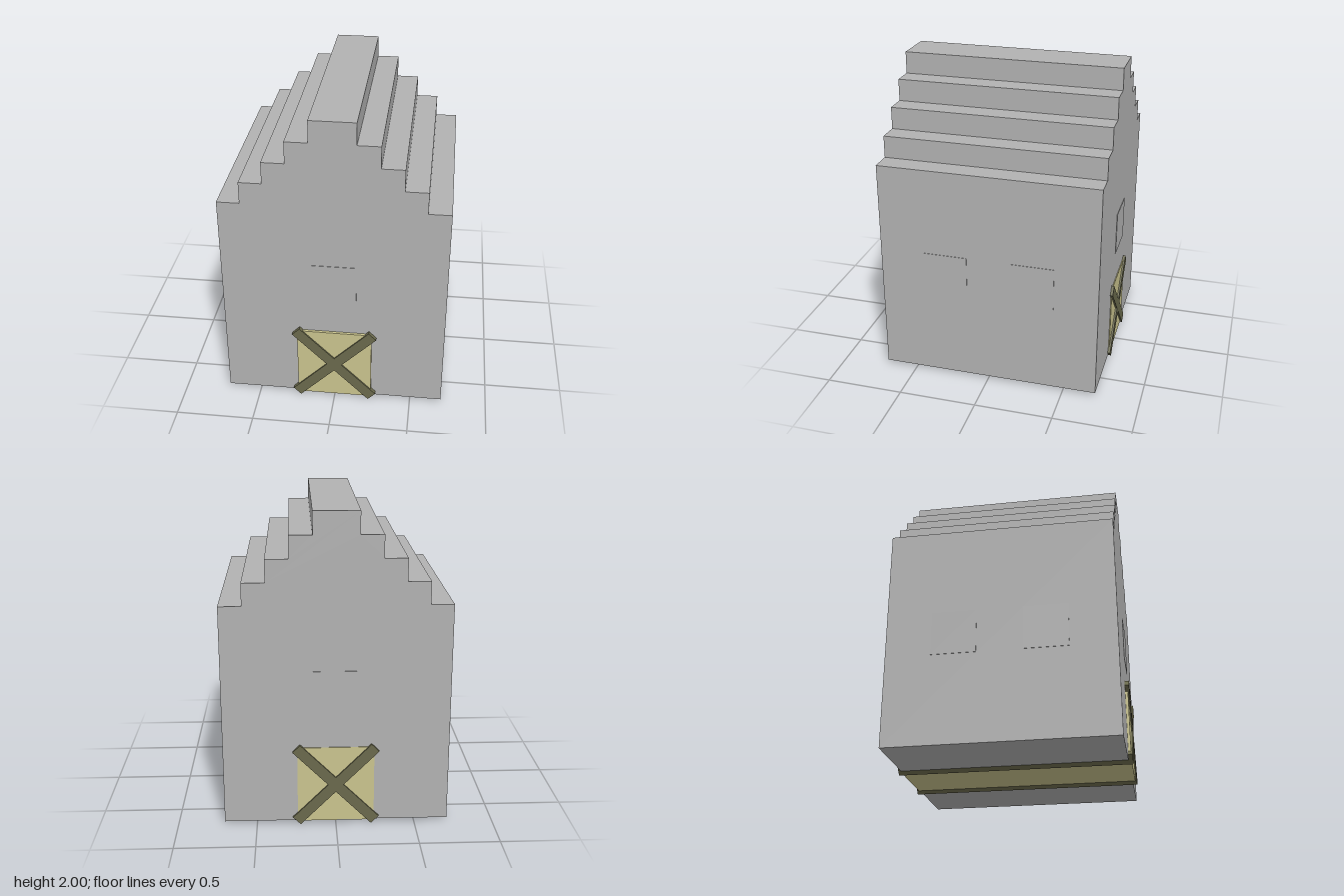
import * as THREE from 'three';

const STEP = 0.1415; // one block of the stepped gable
const HALF = STEP * 5; // half width and half depth of the walls
const BASE = 0.02;
const CX = -0.003, CZ = -0.005; // the walls sit slightly off the beams' centre

export function createModel() {
  const stone = new THREE.MeshStandardMaterial({ color: 0xb2b2b2 });
  stone.name = 'grey stone';
  const straw = new THREE.MeshStandardMaterial({ color: 0xcac48e });
  straw.name = 'pale door wood';
  const wood = new THREE.MeshStandardMaterial({ color: 0x6a694c });
  wood.name = 'dark beam wood';

  const model = new THREE.Group();
  model.name = 'barn';
  const box = (name, material, size, position) => {
    const mesh = new THREE.Mesh(new THREE.BoxGeometry(...size), material);
    mesh.name = name;
    mesh.position.set(...position);
    model.add(mesh);
    return mesh;
  };

  // Walls and stepped roof, extruded from one gable outline
  const right = [[HALF, BASE]];
  for (let i = 0; i < 5; i++) {
    const x = HALF - i * STEP;
    const y = 2 - (4 - i) * STEP;
    if (i > 0) right.push([x, y - STEP]);
    right.push([x, y]);
  }
  const left = right.map(([x, y]) => [-x, y]).reverse();
  const outline = new THREE.Shape([...right, ...left].map(([x, y]) => new THREE.Vector2(x, y)));
  const walls = new THREE.Mesh(
    new THREE.ExtrudeGeometry(outline, { depth: HALF * 2, bevelEnabled: false }), stone);
  walls.name = 'wallsAndSteppedRoof';
  walls.position.set(CX, 0, CZ - HALF);
  model.add(walls);

  // Doors at both ends, joined by a floor strip running through the building
  box('doorsAndFloorStrip', straw, [0.482, 0.502, 1.438], [0, 0.269, 0.001]);

  // Crossed beams running from the front door to the back door
  for (const side of [-1, 1]) {
    const beam = box(side < 0 ? 'crossBeamFalling' : 'crossBeamRising', wood,
      [0.7, 0.068, 1.46], [0, 0.27, 0]);
    beam.rotation.z = side * Math.PI / 4;
  }

  // Thin window panels: one on each gable, two on each side wall
  for (const side of [-1, 1]) {
    box('gableWindow', stone, [0.28, 0.28, 0.006], [0, 0.88, CZ + side * HALF]);
    for (const z of [-0.29, 0.272]) {
      box('sideWindow', stone, [0.006, 0.28, 0.28], [CX + side * HALF, 0.73, z]);
    }
  }
  return model;
}
